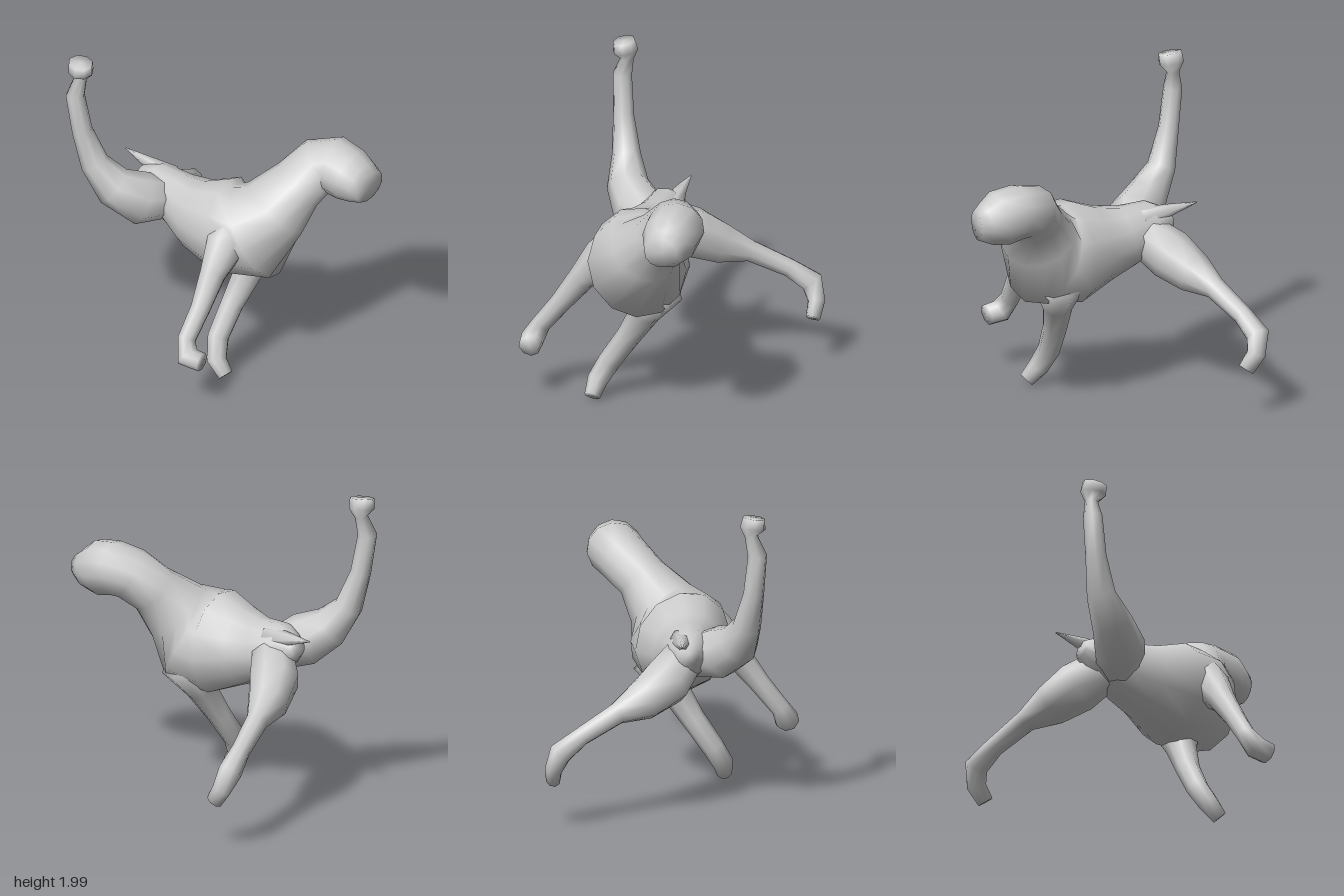
import * as THREE from 'three';

const material = new THREE.MeshStandardMaterial({ color: 0xcccccc });

// Closed loft through stations [x, y, z, radius along up, radius sideways],
// with each ring square to the path.
function loft(name, stations, up, sides) {
  const pts = stations.map((s) => new THREE.Vector3(s[0], s[1], s[2]));
  const n = pts.length;
  const upVec = new THREE.Vector3(...up);
  const pos = [];
  const index = [];
  pts.forEach((p, i) => {
    const t = pts[Math.min(i + 1, n - 1)].clone().sub(pts[Math.max(i - 1, 0)]).normalize();
    const side = t.clone().cross(upVec).normalize();
    const top = side.clone().cross(t);
    const [ru, rs = ru] = stations[i].slice(3);
    for (let k = 0; k < sides; k++) {
      const a = (k / sides) * Math.PI * 2;
      const v = p.clone().addScaledVector(side, Math.cos(a) * rs).addScaledVector(top, Math.sin(a) * ru);
      pos.push(v.x, v.y, v.z);
    }
  });
  pos.push(...pts[0].toArray(), ...pts[n - 1].toArray());
  const startCap = n * sides;
  const lastRing = (n - 1) * sides;
  for (let k = 0; k < sides; k++) {
    const j = (k + 1) % sides;
    for (let r = 0; r < lastRing; r += sides) {
      index.push(r + k, r + k + sides, r + j, r + j, r + k + sides, r + j + sides);
    }
    index.push(startCap, k, j, startCap + 1, lastRing + j, lastRing + k);
  }
  const g = new THREE.BufferGeometry();
  g.setAttribute('position', new THREE.Float32BufferAttribute(pos, 3));
  g.setIndex(index);
  g.computeVertexNormals();
  const mesh = new THREE.Mesh(g, material);
  mesh.name = name;
  return mesh;
}

export function createModel() {
  const dog = new THREE.Group();
  dog.name = 'dog';

  // Rump, waist, rolled rib cage and breast flowing into neck, head and muzzle
  dog.add(loft('bodyAndHead', [
    [-0.61, 1.06, 0.04, 0.06],
    [-0.5, 1.035, 0.06, 0.15, 0.13],
    [-0.32, 0.985, 0.08, 0.19, 0.165],
    [-0.16, 0.95, 0.12, 0.24, 0.22],
    [0.05, 0.935, 0.125, 0.325, 0.295],
    [0.25, 0.95, 0.12, 0.325, 0.3],
    [0.34, 1.1, 0.045, 0.22, 0.235],
    [0.44, 1.245, -0.06, 0.16, 0.185],
    [0.53, 1.355, -0.165, 0.165, 0.18],
    [0.63, 1.375, -0.19, 0.17, 0.185],
    [0.75, 1.35, -0.175, 0.175, 0.17],
    [0.84, 1.325, -0.165, 0.135, 0.14],
    [0.9, 1.32, -0.15, 0.095, 0.115],
  ], [0, 1, 0.45], 12));

  // Hind leg kicked straight up
  dog.add(loft('raisedHindLeg', [
    [-0.36, 0.97, 0.07, 0.12],
    [-0.49, 1.03, 0.26, 0.165],
    [-0.63, 1.12, 0.345, 0.13],
    [-0.75, 1.27, 0.375, 0.09],
    [-0.82, 1.5, 0.405, 0.065],
    [-0.86, 1.75, 0.42, 0.06],
    [-0.84, 1.87, 0.385, 0.04],
    [-0.835, 1.92, 0.395, 0.08],
    [-0.83, 1.985, 0.405, 0.07, 0.08],
  ], [0, 0, 1], 8));

  // Hind leg stretched backwards
  dog.add(loft('stretchedHindLeg', [
    [-0.4, 1.0, 0.06, 0.13],
    [-0.53, 0.87, -0.09, 0.16],
    [-0.605, 0.78, -0.25, 0.13],
    [-0.655, 0.72, -0.42, 0.07],
    [-0.71, 0.605, -0.65, 0.06],
    [-0.735, 0.51, -0.79, 0.075],
    [-0.7, 0.4, -0.825, 0.065, 0.055],
    [-0.635, 0.31, -0.815, 0.055, 0.045],
  ], [1, 0, 0], 8));

  // Front legs, with the paws bent forward
  dog.add(loft('outerFrontLeg', [
    [0.18, 1.04, 0.2, 0.18],
    [0.165, 0.94, 0.36, 0.13],
    [0.15, 0.8, 0.485, 0.085],
    [0.14, 0.62, 0.62, 0.065],
    [0.115, 0.46, 0.745, 0.06],
    [0.15, 0.37, 0.795, 0.075],
    [0.25, 0.36, 0.795, 0.07, 0.06],
  ], [0, 0.6, 0.8], 8));
  dog.add(loft('innerFrontLeg', [
    [0.22, 0.8, 0.0, 0.17],
    [0.175, 0.61, 0.085, 0.095],
    [0.125, 0.42, 0.2, 0.075],
    [0.095, 0.24, 0.32, 0.07],
    [0.125, 0.12, 0.39, 0.065],
    [0.2, 0.04, 0.41, 0.05],
  ], [0, 0.5, 0.87], 8));

  // Short pointed tail
  dog.add(loft('tail', [
    [-0.4, 1.08, 0.03, 0.08],
    [-0.58, 1.12, 0.005, 0.04],
    [-0.76, 1.15, -0.03, 0.004],
  ], [0, 1, 0], 6));

  return dog;
}
